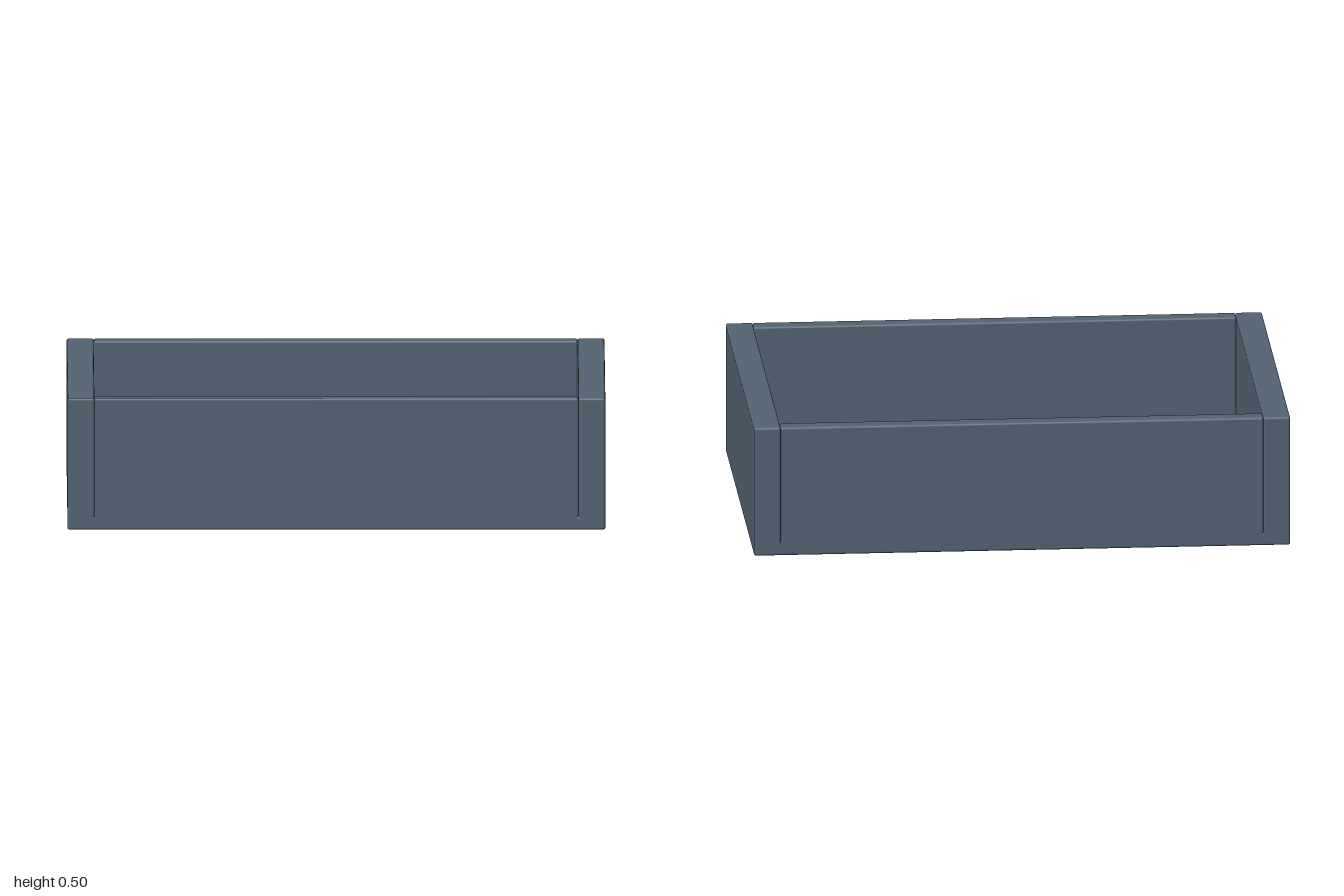
import * as THREE from 'three';
import { RoundedBoxGeometry } from 'three/addons/geometries/RoundedBoxGeometry.js';

const WIDTH = 2, DEPTH = 1.41, HEIGHT = 0.495;
const FLOOR = 0.05, SIDE = 0.1, END = 0.065, BEVEL = 0.008;

export function createModel() {
  const group = new THREE.Group();
  group.name = 'tray';
  const slate = new THREE.MeshStandardMaterial({ color: 0x526373 });
  slate.name = 'slate blue';

  // Softly bevelled board placed by its centre
  const board = (name, w, h, d, x, y, z) => {
    const mesh = new THREE.Mesh(new RoundedBoxGeometry(w, h, d, 2, BEVEL), slate);
    mesh.name = name;
    mesh.position.set(x, y, z);
    group.add(mesh);
  };

  // Floor fills the full footprint and closes the seams at the bottom
  board('floor', WIDTH, FLOOR, DEPTH, 0, FLOOR / 2, 0);

  // Thick side walls run the full depth, thinner walls fit between them
  for (const s of [1, -1]) {
    board(s > 0 ? 'leftWall' : 'rightWall', SIDE, HEIGHT, DEPTH,
      s * (WIDTH - SIDE) / 2, HEIGHT / 2, 0);
    board(s > 0 ? 'frontWall' : 'backWall', WIDTH - 2 * SIDE, HEIGHT, END,
      0, HEIGHT / 2, s * (DEPTH - END) / 2);
  }
  return group;
}
